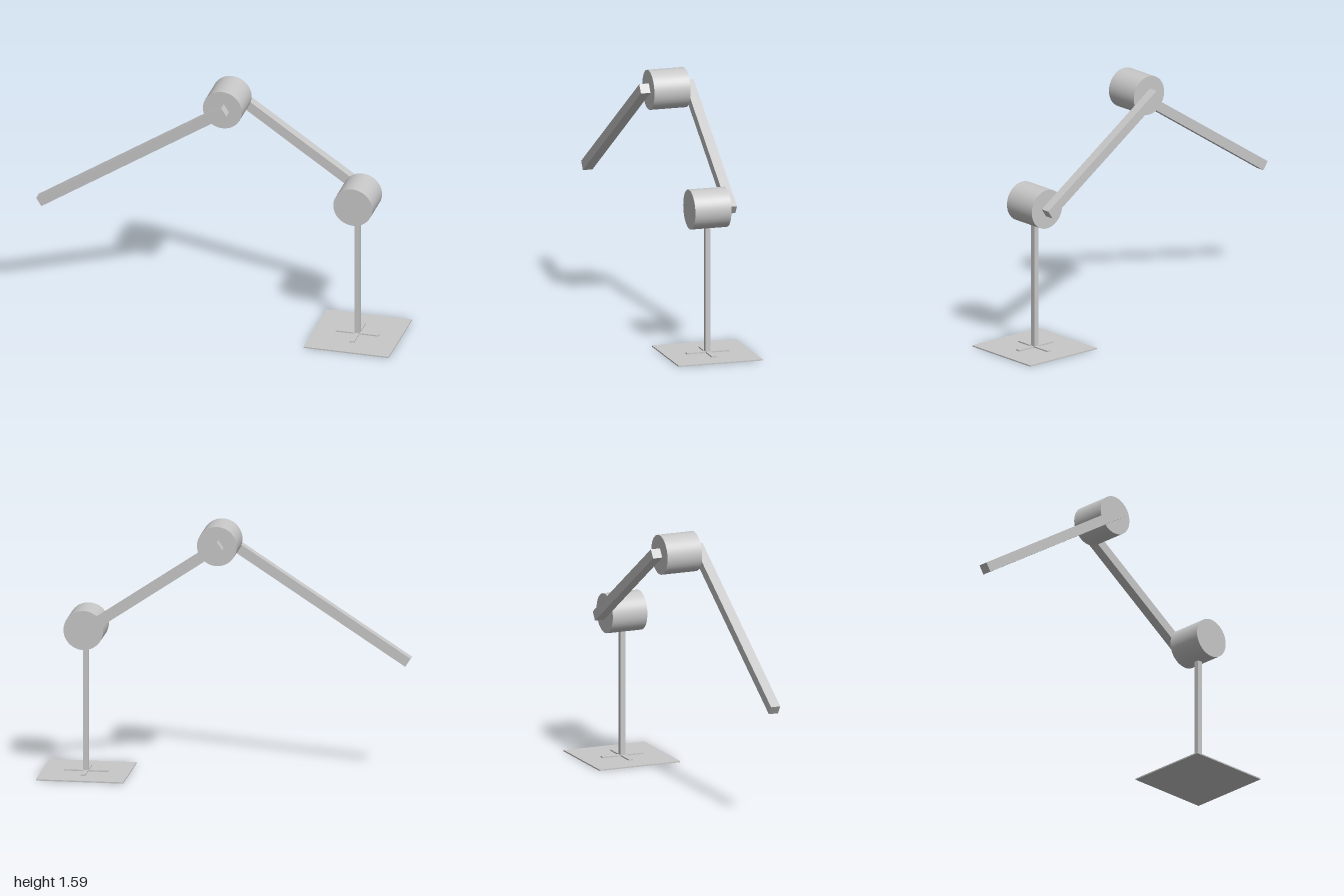
import * as THREE from 'three';

export function createModel() {
  const grey = new THREE.MeshStandardMaterial({ color: 0xc8c8c8 });
  grey.name = 'light grey';

  // The whole arm is built in one plane, then turned about y.
  const model = new THREE.Group();
  model.name = 'jointedArm';
  const rig = new THREE.Group();
  rig.name = 'armOnStand';
  rig.position.set(0.617, 0, 0.41);
  rig.rotation.y = THREE.MathUtils.degToRad(-40.6);
  model.add(rig);

  const add = (name, geometry, x, y, z) => {
    const mesh = new THREE.Mesh(geometry, grey);
    mesh.name = name;
    mesh.position.set(x, y, z);
    rig.add(mesh);
    return mesh;
  };
  const box = (name, w, h, d, x, y, z) =>
    add(name, new THREE.BoxGeometry(w, h, d), x, y, z);

  // Square beam between two points of the arm plane, at depth z
  const BEAM = 0.061;
  const beam = (name, a, b, z) => {
    const d = b.clone().sub(a);
    const mesh = box(name, d.length() + BEAM, BEAM, BEAM, (a.x + b.x) / 2, (a.y + b.y) / 2, z);
    mesh.rotation.z = d.angle();
  };

  const lower = new THREE.Vector2(0, 0.912);
  const upper = new THREE.Vector2(-0.822, 1.467);
  const tip = new THREE.Vector2(-1.937, 0.743);

  // Stand
  box('basePlate', 0.537, 0.008, 0.537, 0, 0.004, 0);
  box('baseCrossBar', 0.27, 0.008, 0.03, 0, 0.012, 0);
  box('baseCrossBarAcross', 0.03, 0.008, 0.27, 0, 0.012, 0);
  box('post', 0.032, 0.8, 0.032, 0, 0.408, 0);

  // Joint drums
  const drum = new THREE.CylinderGeometry(0.1225, 0.1225, 0.23, 48).rotateX(Math.PI / 2);
  add('lowerJoint', drum, lower.x, lower.y, 0);
  add('upperJoint', drum, upper.x, upper.y, 0);

  // Beams on opposite sides of the drums
  beam('lowerArm', lower, upper, -0.1455);
  beam('upperArm', tip, upper, 0.1455);

  return model;
}
